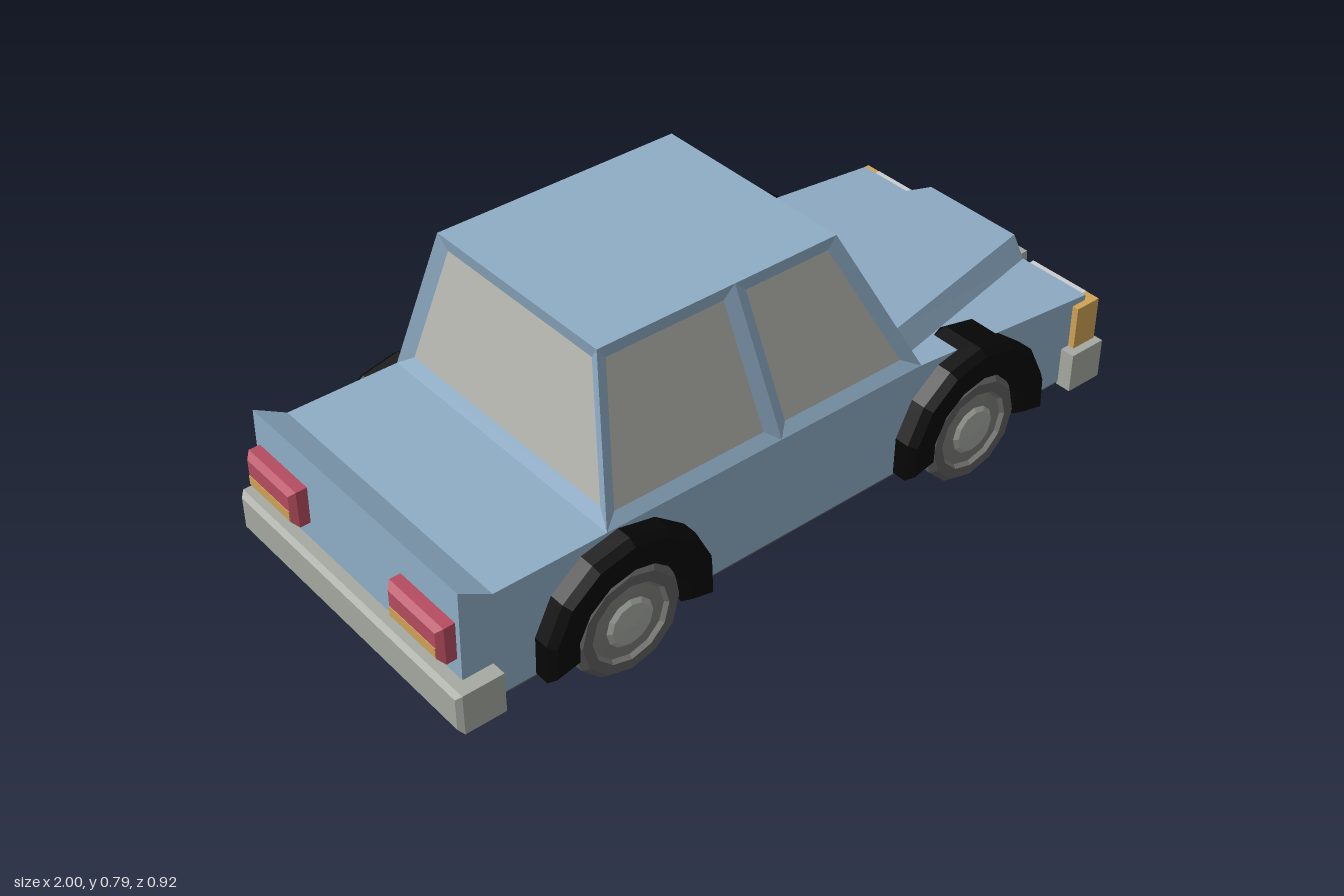
import * as THREE from 'three';

const paint = (name, color) => {
  const m = new THREE.MeshStandardMaterial({ color });
  m.name = name;
  return m;
};

export function createModel() {
  const car = new THREE.Group();
  car.name = 'car';
  const blue = paint('body blue', 0x8fadc6);
  const glass = paint('window glass', 0xb9bab2);
  const chrome = paint('bumper grey', 0xa6a9a2);
  const lampWhite = paint('headlight white', 0xcacccf);
  const amber = paint('indicator amber', 0xd0a356);
  const red = paint('tail light red', 0xb64c60);
  const darkGrey = paint('tyre grey', 0x606060);
  const rimGrey = paint('rim grey', 0x7c7c7a);
  const black = paint('trim black', 0x060606);

  const add = (name, geometry, material, parent = car) => {
    const mesh = new THREE.Mesh(geometry, material);
    mesh.name = name;
    parent.add(mesh);
    return mesh;
  };
  const V = (x, y, z) => new THREE.Vector3(x, y, z);

  // Flat faces from quads, each turned to face along its out direction
  const faces = (list) => {
    const pos = [];
    for (const { q, out } of list) {
      const n = q[2].clone().sub(q[0]).cross(q[3].clone().sub(q[1]));
      const [a, b, c, d] = n.dot(out) < 0 ? [...q].reverse() : q;
      for (const p of [a, b, c, a, c, d]) pos.push(p.x, p.y, p.z);
    }
    const g = new THREE.BufferGeometry();
    g.setAttribute('position', new THREE.Float32BufferAttribute(pos, 3));
    g.computeVertexNormals();
    return g;
  };
  const centre = (pts) => pts.reduce((s, p) => s.add(p), V(0, 0, 0)).divideScalar(pts.length);

  // Closed convex solid through four-cornered rings
  const loft = (rings) => {
    const mid = centre(rings.flat());
    const quads = [rings[0], rings[rings.length - 1]];
    for (let i = 0; i + 1 < rings.length; i++)
      for (let k = 0; k < 4; k++) {
        const j = (k + 1) % 4;
        quads.push([rings[i][k], rings[i][j], rings[i + 1][j], rings[i + 1][k]]);
      }
    return faces(quads.map((q) => ({ q, out: centre(q).sub(mid) })));
  };
  const rect = (x, y0, y1, z0, z1) => [V(x, y0, z0), V(x, y1, z0), V(x, y1, z1), V(x, y0, z1)];
  // Block along x whose outer end (x1) is chamfered by c
  const block = (x0, x1, y0, y1, z0, z1, c) => loft([
    rect(x0, y0, y1, z0, z1),
    rect(x1 - Math.sign(x1 - x0) * c, y0, y1, z0, z1),
    rect(x1, y0 + c, y1 - c, z0 + c, z1 - c),
  ]);
  const box = (x0, x1, y0, y1, z0, z1) =>
    new THREE.BoxGeometry(x1 - x0, y1 - y0, z1 - z0)
      .translate((x0 + x1) / 2, (y0 + y1) / 2, (z0 + z1) / 2);

  // Lower body with raised tail lip
  const profile = new THREE.Shape([
    [-0.9, 0.11], [0.9, 0.11], [0.95, 0.18], [0.95, 0.345], [0.37, 0.4],
    [-0.87, 0.4], [-0.955, 0.45], [-0.96, 0.2],
  ].map(([x, y]) => new THREE.Vector2(x, y)));
  add('lowerBody', new THREE.ExtrudeGeometry(profile, { depth: 0.8, bevelEnabled: false })
    .translate(0, 0, -0.4), blue);

  // Tapering raised hood
  add('hood', loft([
    [V(0.37, 0.39, 0.355), V(0.37, 0.455, 0.31), V(0.37, 0.455, -0.31), V(0.37, 0.39, -0.355)],
    [V(0.95, 0.34, 0.19), V(0.95, 0.4, 0.15), V(0.95, 0.4, -0.15), V(0.95, 0.34, -0.19)],
  ]), blue);

  // Underside
  add('floorPlate', box(-0.88, 0.88, 0.104, 0.112, -0.398, 0.398), darkGrey);
  add('underbody', box(-0.73, 0.75, 0.08, 0.15, -0.215, 0.215), black);

  // Cabin: roof and recessed windows
  const low = (x, s) => V(x, 0.4, 0.4 * s);
  const high = (x, s) => V(x, 0.79, 0.29 * s);
  const cabin = new THREE.Group();
  cabin.name = 'cabin';
  car.add(cabin);
  add('roof', faces([{
    q: [high(-0.5, 1), high(0.18, 1), high(0.18, -1), high(-0.5, -1)], out: V(0, 1, 0),
  }]), blue, cabin);
  const addWindow = (name, q, out, inset = 0.032, recess = 0.014) => {
    const normal = q[2].clone().sub(q[0]).cross(q[3].clone().sub(q[1])).normalize();
    if (normal.dot(out) < 0) normal.negate();
    const toward = (a, b) => b.clone().sub(a).normalize();
    const inner = q.map((p, i) => {
      const u = toward(p, q[(i + 1) % 4]);
      const v = toward(p, q[(i + 3) % 4]);
      const k = inset / u.clone().cross(v).length();
      return p.clone().addScaledVector(u.add(v), k).addScaledVector(normal, -recess);
    });
    add(name + 'Frame', faces(q.map((p, i) => {
      const j = (i + 1) % 4;
      return { q: [p, q[j], inner[j], inner[i]], out: normal };
    })), blue, cabin);
    add(name + 'Glass', faces([{ q: inner, out: normal }]), glass, cabin);
  };
  addWindow('windshield', [low(0.37, 1), high(0.18, 1), high(0.18, -1), low(0.37, -1)], V(1, 0, 0), 0.036);
  addWindow('rearWindow', [low(-0.57, 1), high(-0.5, 1), high(-0.5, -1), low(-0.57, -1)], V(-1, 0, 0), 0.036);
  for (const s of [1, -1]) {
    const out = V(0, 0, s);
    addWindow('rearSideWindow', [low(-0.57, s), low(-0.07, s), high(-0.12, s), high(-0.5, s)], out);
    addWindow('frontSideWindow', [low(-0.07, s), low(0.37, s), high(0.18, s), high(-0.12, s)], out);
  }

  // Bumpers
  add('frontBumper', block(0.88, 1, 0.1, 0.21, -0.44, 0.44, 0.012), chrome);
  add('rearBumper', block(-0.88, -1, 0.1, 0.21, -0.44, 0.44, 0.012), chrome);

  // Grille: sloping frame around a sunken panel
  const outer = [V(0.985, 0.205, 0.178), V(0.985, 0.345, 0.168), V(0.985, 0.345, -0.168), V(0.985, 0.205, -0.178)];
  const inner = [V(0.965, 0.215, 0.14), V(0.965, 0.325, 0.153), V(0.965, 0.325, -0.153), V(0.965, 0.215, -0.14)];
  const base = outer.map((p) => V(0.94, p.y, p.z));
  const frame = [];
  outer.forEach((p, i) => {
    const j = (i + 1) % 4;
    frame.push({ q: [p, outer[j], inner[j], inner[i]], out: V(1, 0, 0) });
    const side = [p, outer[j], base[j], base[i]];
    frame.push({ q: side, out: centre(side).sub(V(0.96, 0.275, 0)) });
  });
  add('grilleFrame', faces(frame), chrome);
  add('grillePanel', faces([{ q: inner, out: V(1, 0, 0) }]), darkGrey);

  // Lamps, mirrored
  for (const s of [1, -1]) {
    const span = (a, b) => (s > 0 ? [a, b] : [-b, -a]);
    add('headlight', block(0.94, 1, 0.205, 0.33, ...span(0.195, 0.376), 0.018), lampWhite);
    add('indicator', block(0.905, 0.995, 0.205, 0.33, ...span(0.376, 0.418), 0.014), amber);
    add('tailLight', block(-0.95, -1, 0.26, 0.36, ...span(0.185, 0.385), 0.014), red);
    add('reverseLight', box(-1.002, -0.995, 0.277, 0.303, ...span(0.2, 0.37)), amber);
  }

  // Wheels and arches
  const arc = (r, a0, a1) => Array.from({ length: 9 }, (_, i) => {
    const a = a0 + ((a1 - a0) * i) / 8;
    return new THREE.Vector2(r * Math.cos(a), r * Math.sin(a));
  });
  const archShape = new THREE.Shape([
    ...arc(0.237, -0.2, Math.PI + 0.2), ...arc(0.145, Math.PI + 0.2, -0.2),
  ]);
  const archGeometry = new THREE.ExtrudeGeometry(archShape, {
    depth: 0.12, bevelThickness: 0.02, bevelSize: 0.015, bevelOffset: -0.015, bevelSegments: 1,
  }).translate(0, 0, -0.06);
  const turned = (points) => {
    const g = new THREE.LatheGeometry(points.map(([r, y]) => new THREE.Vector2(r, y)), 12)
      .rotateX(Math.PI / 2).toNonIndexed();
    g.computeVertexNormals();
    return g;
  };
  const tyre = turned([[0, -0.065], [0.135, -0.065], [0.15, -0.05], [0.15, 0.05], [0.135, 0.065], [0.108, 0.065]]);
  const rim = turned([[0.108, 0.065], [0.1, 0.055], [0.066, 0.06]]);
  const hub = turned([[0.066, 0.06], [0.055, 0.068], [0, 0.074]]);
  for (const [end, x] of [['front', 0.53], ['rear', -0.54]])
    for (const s of [1, -1]) {
      const wheel = new THREE.Group();
      wheel.name = end + 'Wheel';
      wheel.position.set(x, 0.15, 0.375 * s);
      if (s < 0) wheel.rotation.y = Math.PI;
      add('tyre', tyre, darkGrey, wheel);
      add('rim', rim, rimGrey, wheel);
      add('hubCap', hub, chrome, wheel);
      car.add(wheel);
      add(end + 'WheelArch', archGeometry, black).position.set(x, 0.16, 0.38 * s);
    }
  return car;
}
